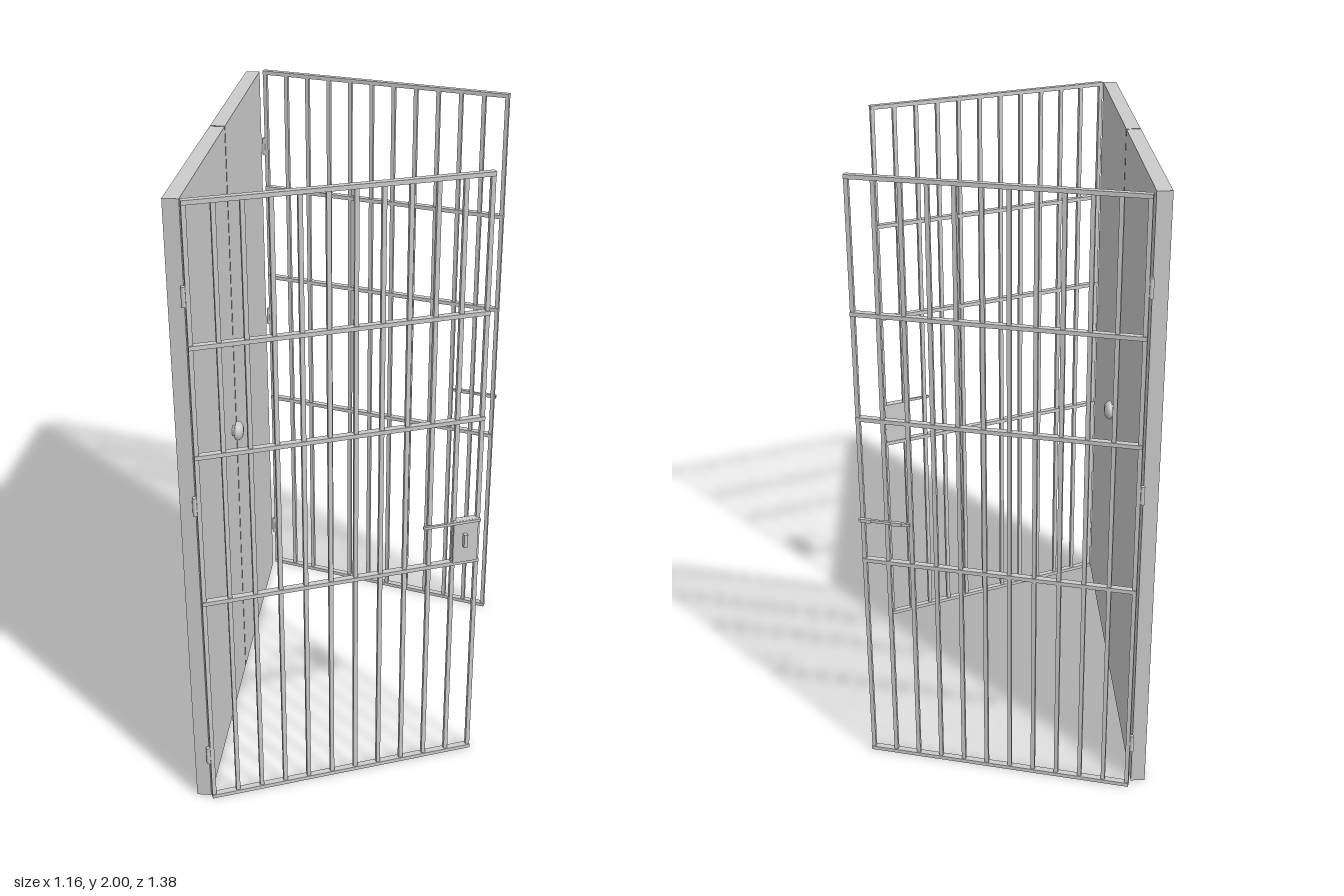
import * as THREE from 'three';

const grey = new THREE.MeshStandardMaterial({ color: 0xcccccc });
const frameGrey = new THREE.MeshStandardMaterial({ color: 0xbcbcc0 });

function add(parent, name, geometry, x, y, z, material = grey) {
  const mesh = new THREE.Mesh(geometry, material);
  mesh.name = name;
  mesh.position.set(x, y, z);
  parent.add(mesh);
  return mesh;
}

function box(parent, name, w, h, d, x, y, z, material) {
  return add(parent, name, new THREE.BoxGeometry(w, h, d), x, y, z, material);
}

// Group whose local x runs along the ground from (x0, z0) to (x1, z1)
function span(parent, name, x0, z0, x1, z1) {
  const g = new THREE.Group();
  g.name = name;
  g.position.set(x0, 0, z0);
  g.rotation.y = Math.atan2(z0 - z1, x1 - x0);
  parent.add(g);
  return { g, length: Math.hypot(x1 - x0, z1 - z0) };
}

// One door leaf: stiles, rails and two flush panels
function addLeaf(parent, name, x0, width) {
  const leaf = new THREE.Group();
  leaf.name = name;
  leaf.position.x = x0;
  parent.add(leaf);
  const t = 0.046, f = 0.065, inner = width - 2 * f, mid = width / 2;
  for (const x of [f / 2, width - f / 2]) box(leaf, 'stile', f, 2, t, x, 1, 0, frameGrey);
  for (const [y, h] of [[f / 2, f], [1, 2 * f], [2 - f / 2, f]]) {
    box(leaf, 'rail', inner, h, t, mid, y, 0, frameGrey);
  }
  for (const y of [0.5, 1.5]) box(leaf, 'panel', inner, 1 - 2 * f, t, mid, y, 0);
}

// Barred gate with hinges at its local origin
function addGate(parent, name, x0, z0, x1, z1) {
  const { g, length } = span(parent, name, x0, z0, x1, z1);
  const bar = 0.013, depth = 0.02, count = 12;
  for (let i = 0; i < count; i++) {
    const x = bar / 2 + (length - bar) * i / (count - 1);
    box(g, 'verticalBar', bar, 2, bar, x, 1, 0);
  }
  for (const y of [bar / 2, 0.745, 1.24, 1.58, 2 - bar / 2]) {
    box(g, 'crossBar', length, bar, depth, length / 2, y, 0);
  }
  for (const y of [0.17, 1.08, 1.73]) {
    add(g, 'hinge', new THREE.CylinderGeometry(0.007, 0.007, 0.06, 12), -0.005, y, 0);
  }
  return { g, length };
}

export function createModel() {
  const model = new THREE.Group();
  model.name = 'doorsWithGates';

  // Solid double door
  const door = span(model, 'doubleDoor', -0.557, 0.666, -0.23, -0.672);
  const leafWidth = door.length / 2 - 0.003;
  addLeaf(door.g, 'frontLeaf', 0, leafWidth);
  addLeaf(door.g, 'backLeaf', door.length - leafWidth, leafWidth);

  // Round knob on the inner face
  const profile = [[0.018, 0], [0.018, 0.006], [0.03, 0.01], [0.033, 0.016], [0.03, 0.024], [0.02, 0.033], [0, 0.035]]
    .map(([r, h]) => new THREE.Vector2(r, h));
  const knob = add(door.g, 'knob', new THREE.LatheGeometry(profile, 24), 0.622, 1, 0.023);
  knob.rotation.x = Math.PI / 2;

  // Front gate with lock case, keyhole plate and sliding bolt
  const front = addGate(model, 'frontGate', -0.532, 0.679, 0.336, 0.549);
  const L = front.length;
  box(front.g, 'lockCase', 0.08, 0.15, 0.022, L - 0.048, 0.825, 0.004);
  box(front.g, 'keyhole', 0.012, 0.045, 0.02, L - 0.052, 0.832, 0.02);
  box(front.g, 'bolt', 0.185, 0.009, 0.008, L - 0.095, 0.895, 0.016);

  // Back gate with bolt and keepers
  const back = addGate(model, 'backGate', -0.192, -0.686, 0.573, -0.253);
  box(back.g, 'bolt', 0.165, 0.009, 0.008, back.length - 0.08, 0.895, -0.014);
  for (const x of [0.02, 0.12]) {
    box(back.g, 'keeper', 0.034, 0.012, 0.012, back.length - x, 0.895, -0.016);
  }
  return model;
}
